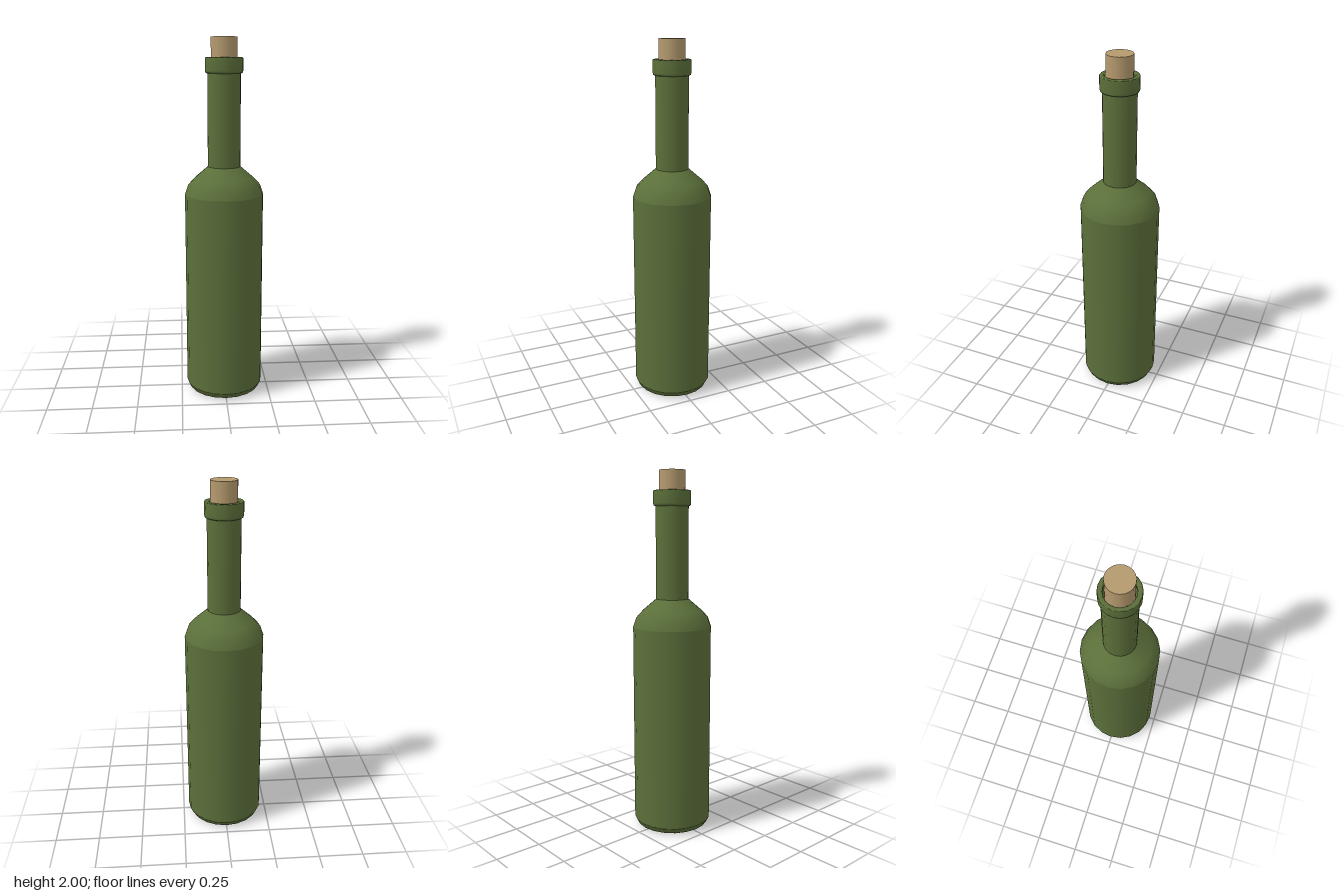
import * as THREE from 'three';

const SIDES = 20;

export function createModel() {
  const group = new THREE.Group();
  group.name = 'corkedBottle';

  const glass = new THREE.MeshStandardMaterial({ color: 0x5b6f3a });
  glass.name = 'green glass';
  const corkMat = new THREE.MeshStandardMaterial({ color: 0xb59a6e });
  corkMat.name = 'cork';

  // Each section is turned on its own, so edges stay sharp between sections
  function turned(name, profile, material) {
    const points = profile.map(([r, y]) => new THREE.Vector2(r, y));
    const mesh = new THREE.Mesh(new THREE.LatheGeometry(points, SIDES), material);
    mesh.name = name;
    group.add(mesh);
  }

  // Body
  turned('base', [[0, 0], [0.18, 0]], glass);
  turned('baseEdge', [[0.18, 0], [0.203, 0.012], [0.218, 0.042]], glass);
  turned('body', [[0.218, 0.042], [0.218, 1.156]], glass);
  turned('shoulder', [[0.218, 1.156], [0.2, 1.208], [0.165, 1.246], [0.09, 1.31]], glass);

  // Neck and lip
  turned('neck', [[0.09, 1.31], [0.09, 1.815]], glass);
  turned('lip', [[0.09, 1.81], [0.1, 1.814], [0.103, 1.824], [0.103, 1.89], [0.1, 1.894], [0.082, 1.894], [0.078, 1.885]], glass);
  turned('mouth', [[0.078, 1.885], [0.076, 1.8], [0.07, 1.7]], glass);

  // Cork
  const cork = new THREE.Mesh(new THREE.CylinderGeometry(0.071, 0.071, 0.3, SIDES), corkMat);
  cork.name = 'cork';
  cork.position.y = 1.85;
  group.add(cork);

  return group;
}
